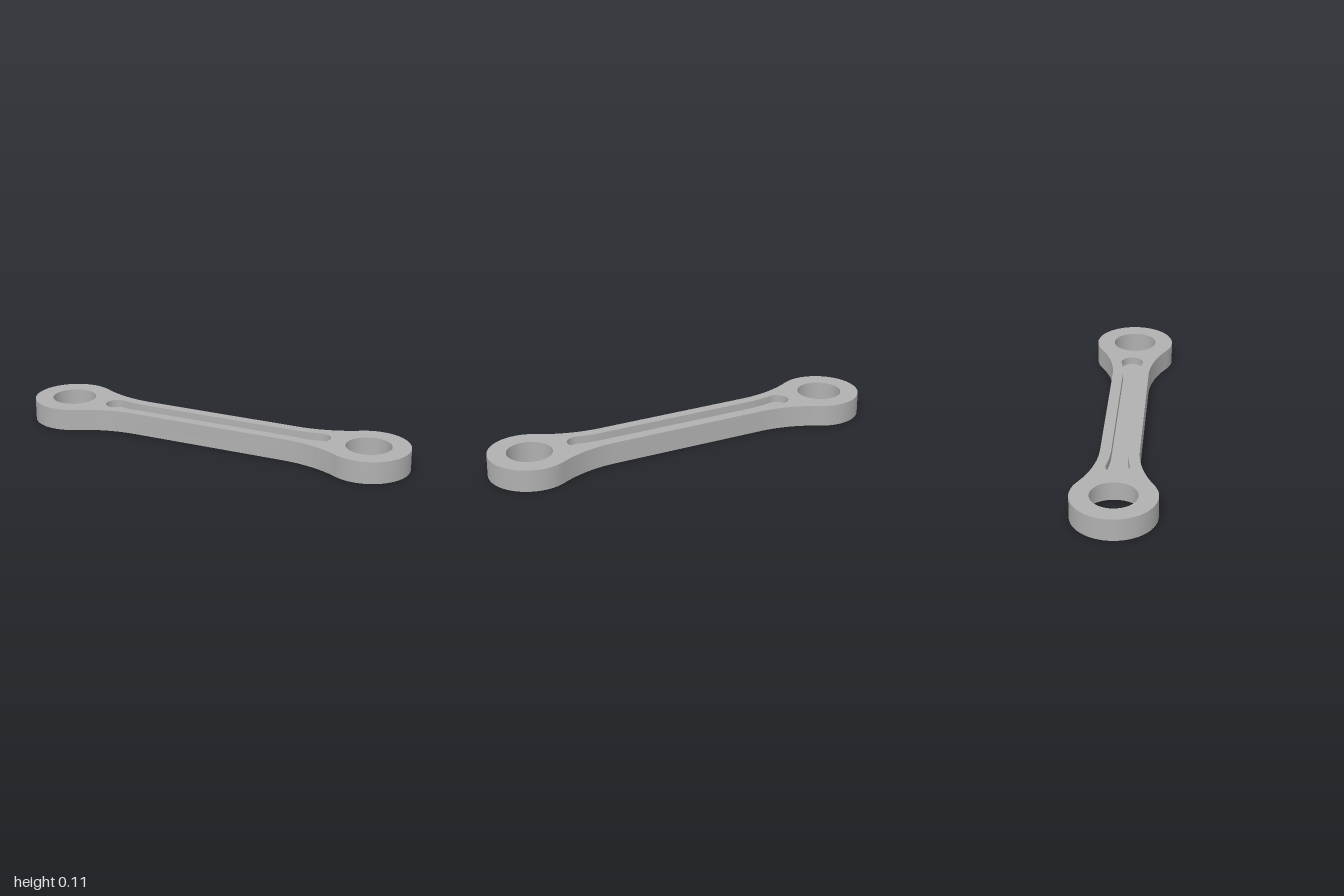
import * as THREE from 'three';

const HEIGHT = 0.108;      // overall thickness
const POCKET_FLOOR = 0.07; // floor of the top pocket
const STEP = 0.03;         // depth of the underside counterbore
const EYE_X = 0.8;         // centre of each eye
const BAR_END = 0.4;       // where the straight bar meets its fillets

// Points on an arc, angles running from a0 to a1
function arc(cx, cy, r, a0, a1, n) {
  return Array.from({ length: n + 1 }, (_, i) => {
    const a = a0 + (a1 - a0) * i / n;
    return new THREE.Vector2(cx + r * Math.cos(a), cy + r * Math.sin(a));
  });
}

const circle = (cx, r) => arc(cx, 0, r, 0, Math.PI * 2, 64).slice(0, -1);

// Bar with round ends, joined by tangent concave fillets (counter-clockwise)
function dogbone(endX, filletY, filletR) {
  const dx = endX - BAR_END;
  const r = Math.hypot(dx, filletY) - filletR;
  const a = Math.atan2(filletY, -dx);
  const P = Math.PI;
  const points = [
    ...arc(endX, 0, r, -a, a, 48),
    ...arc(BAR_END, filletY, filletR, a - P, -P / 2, 16),
    ...arc(-BAR_END, filletY, filletR, -P / 2, -a, 16),
    ...arc(-endX, 0, r, P - a, P + a, 48),
    ...arc(-BAR_END, -filletY, filletR, a, P / 2, 16),
    ...arc(BAR_END, -filletY, filletR, P / 2, P - a, 16),
  ];
  return points.filter((p, i) => p.distanceTo(points[(i + 1) % points.length]) > 1e-5);
}

// Smooth upright wall along a closed outline
function wall(points, y0, y1, inward = false) {
  const n = points.length, pos = [], index = [];
  points.forEach((p) => pos.push(p.x, y0, -p.y, p.x, y1, -p.y));
  for (let i = 0; i < n; i++) {
    const a = 2 * i, b = 2 * ((i + 1) % n);
    if (inward) index.push(a, b + 1, b, a, a + 1, b + 1);
    else index.push(a, b, b + 1, a, b + 1, a + 1);
  }
  const g = new THREE.BufferGeometry();
  g.setAttribute('position', new THREE.Float32BufferAttribute(pos, 3));
  g.setIndex(index);
  g.computeVertexNormals();
  return g;
}

// Flat face with holes, looking up or down
function face(points, holes, y, up = true) {
  const shape = new THREE.Shape(points);
  shape.holes = holes.map((h) => new THREE.Path(h));
  const g = new THREE.ShapeGeometry(shape);
  g.rotateX(up ? -Math.PI / 2 : Math.PI / 2);
  g.translate(0, y, 0);
  return g;
}

export function createModel() {
  const group = new THREE.Group();
  group.name = 'connectingLink';
  const steel = new THREE.MeshStandardMaterial({ color: 0xb0b0b0 });
  steel.name = 'steelGrey';
  const add = (name, geometry) => {
    const mesh = new THREE.Mesh(geometry, steel);
    mesh.name = name;
    group.add(mesh);
  };

  const outline = dogbone(EYE_X, 0.694, 0.601);
  const pocket = dogbone(0.55, 0.694, 0.654);
  const leftBore = circle(EYE_X, 0.11);
  const rightBore = circle(-EYE_X, 0.11);
  const counterbore = circle(-EYE_X, 0.138);

  // Body
  add('outerWall', wall(outline, 0, HEIGHT));
  add('topFace', face(outline, [leftBore, rightBore, pocket], HEIGHT));
  add('bottomFace', face(outline, [leftBore, counterbore], 0, false));

  // Lightening pocket in the top
  add('pocketWall', wall(pocket, POCKET_FLOOR, HEIGHT, true));
  add('pocketFloor', face(pocket, [], POCKET_FLOOR));

  // Plain bore, and the bore stepped on the underside
  add('leftBore', wall(leftBore, 0, HEIGHT, true));
  add('rightBore', wall(rightBore, STEP, HEIGHT, true));
  add('counterboreWall', wall(counterbore, 0, STEP, true));
  add('counterboreLedge', face(counterbore, [rightBore], STEP, false));

  return group;
}
